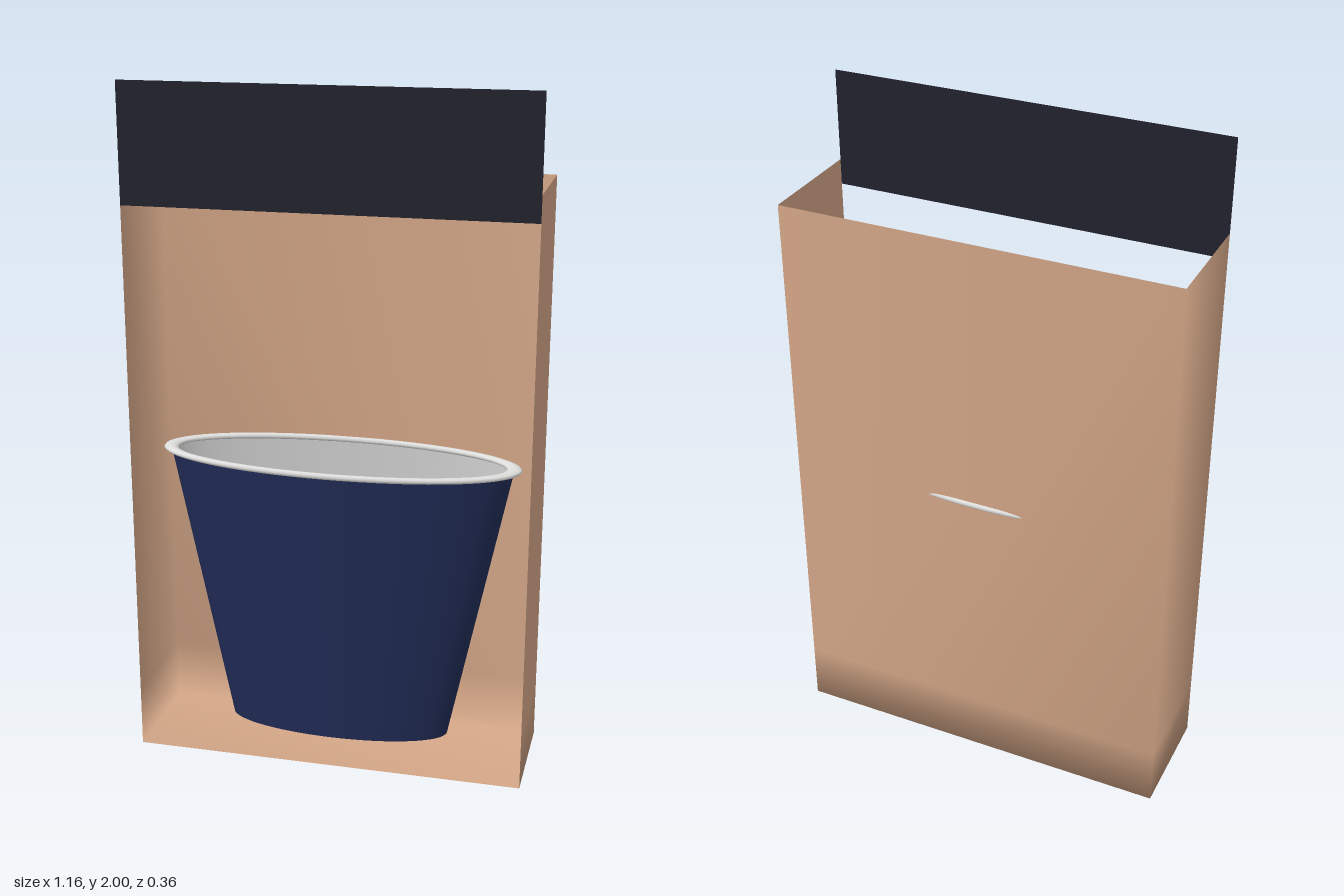
import * as THREE from 'three';

const material = (name, color, side = THREE.DoubleSide) => {
  const m = new THREE.MeshStandardMaterial({ color, side });
  m.name = name;
  return m;
};

// Thin open-fronted case: right, back and left walls plus floor, sharing smooth corners
function caseGeometry(halfWidth, halfDepth, levels) {
  const corners = [
    [halfWidth, halfDepth], [halfWidth, -halfDepth],
    [-halfWidth, -halfDepth], [-halfWidth, halfDepth],
  ];
  const positions = [];
  const index = [0, 3, 2, 0, 2, 1];
  levels.forEach((y) => corners.forEach(([x, z]) => positions.push(x, y, z)));
  for (let row = 0; row < levels.length - 1; row++) {
    for (let i = 0; i < 3; i++) {
      const a = row * 4 + i;
      index.push(a, a + 1, a + 5, a, a + 5, a + 4);
    }
  }
  const geometry = new THREE.BufferGeometry();
  geometry.setAttribute('position', new THREE.Float32BufferAttribute(positions, 3));
  geometry.setIndex(index);
  geometry.computeVertexNormals();
  return geometry;
}

export function createModel() {
  const tan = material('tan card', 0xd2a586);
  const charcoal = material('charcoal', 0x22222d);
  const navy = material('navy', 0x202b55);
  const grey = material('light grey lining', 0xc8c8c8);
  const white = material('off white rim', 0xdededc, THREE.FrontSide);

  const model = new THREE.Group();
  const add = (parent, name, geometry, mat, y = 0, z = 0) => {
    const mesh = new THREE.Mesh(geometry, mat);
    mesh.name = name;
    mesh.position.set(0, y, z);
    parent.add(mesh);
    return mesh;
  };

  // Case and header panel
  add(model, 'case', caseGeometry(0.58, 0.171, [0, 0.18, 1.735]), tan);
  add(model, 'headerPanel', new THREE.PlaneGeometry(1.16, 0.34), charcoal, 1.83, 0.171);

  // Oval cup, flattened front to back and open at both ends
  const cup = new THREE.Group();
  cup.name = 'cup';
  cup.scale.z = 0.333;
  model.add(cup);
  const halfCup = (start) =>
    new THREE.CylinderGeometry(0.512, 0.335, 0.855, 32, 1, true, start, Math.PI);
  add(cup, 'cupFront', halfCup(-Math.PI / 2), navy, 0.4875);
  add(cup, 'cupBack', halfCup(Math.PI / 2), grey, 0.4875);

  // Rolled rim
  const rim = new THREE.TorusGeometry(0.5125, 0.0225, 10, 64);
  rim.rotateX(Math.PI / 2);
  rim.scale(1, 0.4, 1);
  add(cup, 'cupRim', rim, white, 0.915);

  return model;
}
